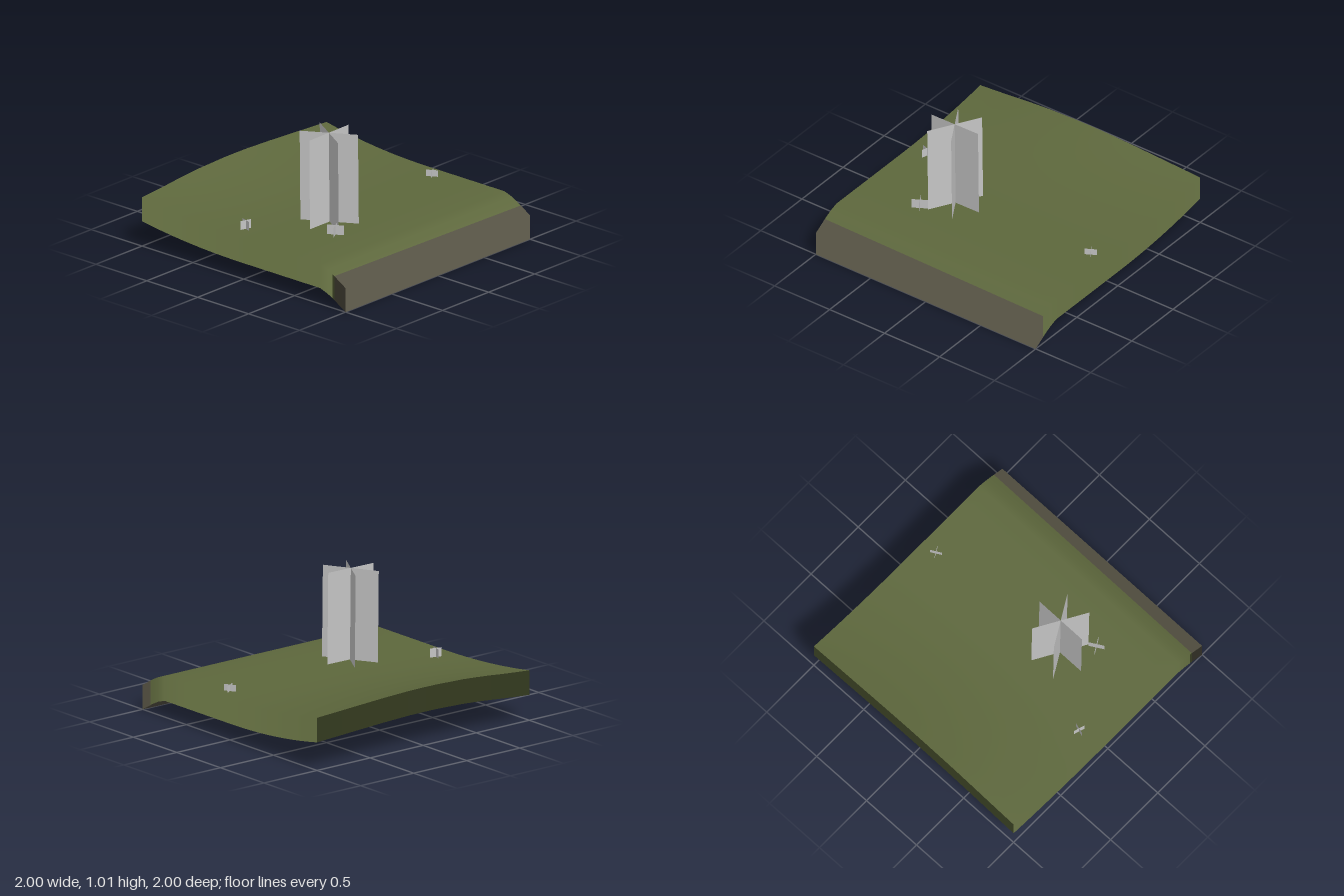
import * as THREE from 'three';

const DROP = 0.187; // height of the skirt around the sheet
const COLS = 16;
const ROWS = [1, 0.9, 0.87, 0.82, 0.75, 0.5, 0.25, 0,
  -0.1, -0.2, -0.3, -0.4, -0.5, -0.6, -0.7, -0.8, -0.9, -1];

// Linear interpolation through [position, value] pairs in rising order
function lerpPoints(points, t) {
  for (let i = 1; i < points.length; i++) {
    const [a, va] = points[i - 1], [b, vb] = points[i];
    if (t <= b) return va + (vb - va) * (t - a) / (b - a);
  }
  return points[points.length - 1][1];
}

const BANK = [[0.75, 0.31], [0.82, 0.287], [0.88, 0.258], [1, DROP]];
const RIDGE = [[-1, 0.07], [-0.8, 0.085], [-0.6, 0.105], [-0.4, 0.12],
  [-0.1, 0.13], [0.1, 0.13], [0.4, 0.12], [0.8, 0.1], [1, 0.09]];

// Flat field, falling to the front bank and rising to a ridge at the back
function height(x, z) {
  if (z > 0.75) return lerpPoints(BANK, z);
  return 0.31 + (z < 0 ? lerpPoints(RIDGE, x) * Math.pow(-z, 2.1) : 0);
}

function createTerrain(grass, earth) {
  const positions = [], top = [], grassIndex = [], earthIndex = [];
  const W = COLS + 1, count = W * ROWS.length;
  ROWS.forEach((row, r) => {
    for (let c = 0; c <= COLS; c++) {
      const x = -1 + 2 * c / COLS;
      const z = r === 1 ? row + 0.01 * x : row; // uneven earth border
      positions.push(x, height(x, z), z);
    }
  });
  const quad = (list, a, b, c, d) => list.push(a, b, c, a, c, d);

  // Upper sheet, front row to back row
  for (let r = 0; r < ROWS.length - 1; r++) {
    for (let c = 0; c < COLS; c++) {
      const i = r * W + c;
      quad(r === 0 ? earthIndex : grassIndex, i, i + 1, i + 1 + W, i + W);
    }
  }
  const sheet = new THREE.BufferGeometry();
  sheet.setAttribute('position', new THREE.Float32BufferAttribute(positions, 3));
  sheet.setIndex([...earthIndex, ...grassIndex]);
  sheet.computeVertexNormals();
  const normals = Array.from(sheet.attributes.normal.array);

  // Skirt: the rim copied downwards, shaded to blend with the sheet
  const last = ROWS.length - 1;
  for (let c = 0; c < COLS; c++) top.push(c);
  for (let r = 0; r < last; r++) top.push(r * W + COLS);
  for (let c = COLS; c > 0; c--) top.push(last * W + c);
  for (let r = last; r > 0; r--) top.push(r * W);
  top.forEach((i, k) => {
    positions.push(positions[3 * i], Math.max(0, positions[3 * i + 1] - DROP), positions[3 * i + 2]);
    normals.push(...normals.slice(3 * i, 3 * i + 3));
    const n = (k + 1) % top.length, j = top[n];
    const isEarth = i < 2 * W && j < 2 * W;
    quad(isEarth ? earthIndex : grassIndex, count + k, count + n, j, i);
  });

  const geometry = new THREE.BufferGeometry();
  geometry.setAttribute('position', new THREE.Float32BufferAttribute(positions, 3));
  geometry.setAttribute('normal', new THREE.Float32BufferAttribute(normals, 3));
  geometry.setIndex([...earthIndex, ...grassIndex]);
  geometry.addGroup(0, earthIndex.length, 0);
  geometry.addGroup(earthIndex.length, grassIndex.length, 1);
  const mesh = new THREE.Mesh(geometry, [earth, grass]);
  mesh.name = 'terrain';
  return mesh;
}

// Upright crossed cards; each card is [length, angle in degrees]
function createPlant(name, x, z, tall, cards, material) {
  const group = new THREE.Group();
  group.name = name;
  group.position.set(x, 0.31, z);
  for (const [length, angle] of cards) {
    const geometry = new THREE.PlaneGeometry(length, tall).translate(0, tall / 2, 0);
    const card = new THREE.Mesh(geometry, material);
    card.name = 'card';
    card.rotation.y = THREE.MathUtils.degToRad(angle);
    group.add(card);
  }
  return group;
}

export function createModel() {
  const material = (name, color) =>
    new THREE.MeshStandardMaterial({ name, color, side: THREE.DoubleSide });
  const grass = material('grass', 0x5d673c);
  const earth = material('earth', 0x545142);
  const foliage = material('foliage', 0xc4c4c4);

  const model = new THREE.Group();
  model.name = 'terrainTile';
  model.add(createTerrain(grass, earth));

  // Tree of three crossed cards, leaning very slightly
  const tree = createPlant('tree', -0.312, 0.22, 0.695,
    [[0.425, 0], [0.435, 60], [0.435, 120]], foliage);
  tree.rotation.z = 0.012;
  model.add(tree);

  // Small bushes
  model.add(
    createPlant('leftBush', 0.87, 0.157, 0.05, [[0.09, 29], [0.09, -60]], foliage),
    createPlant('frontBush', -0.48, 0.43, 0.075, [[0.12, 30], [0.125, -60]], foliage),
    createPlant('rightBush', -0.835, -0.13, 0.07, [[0.09, 73], [0.09, -17]], foliage),
  );
  return model;
}
